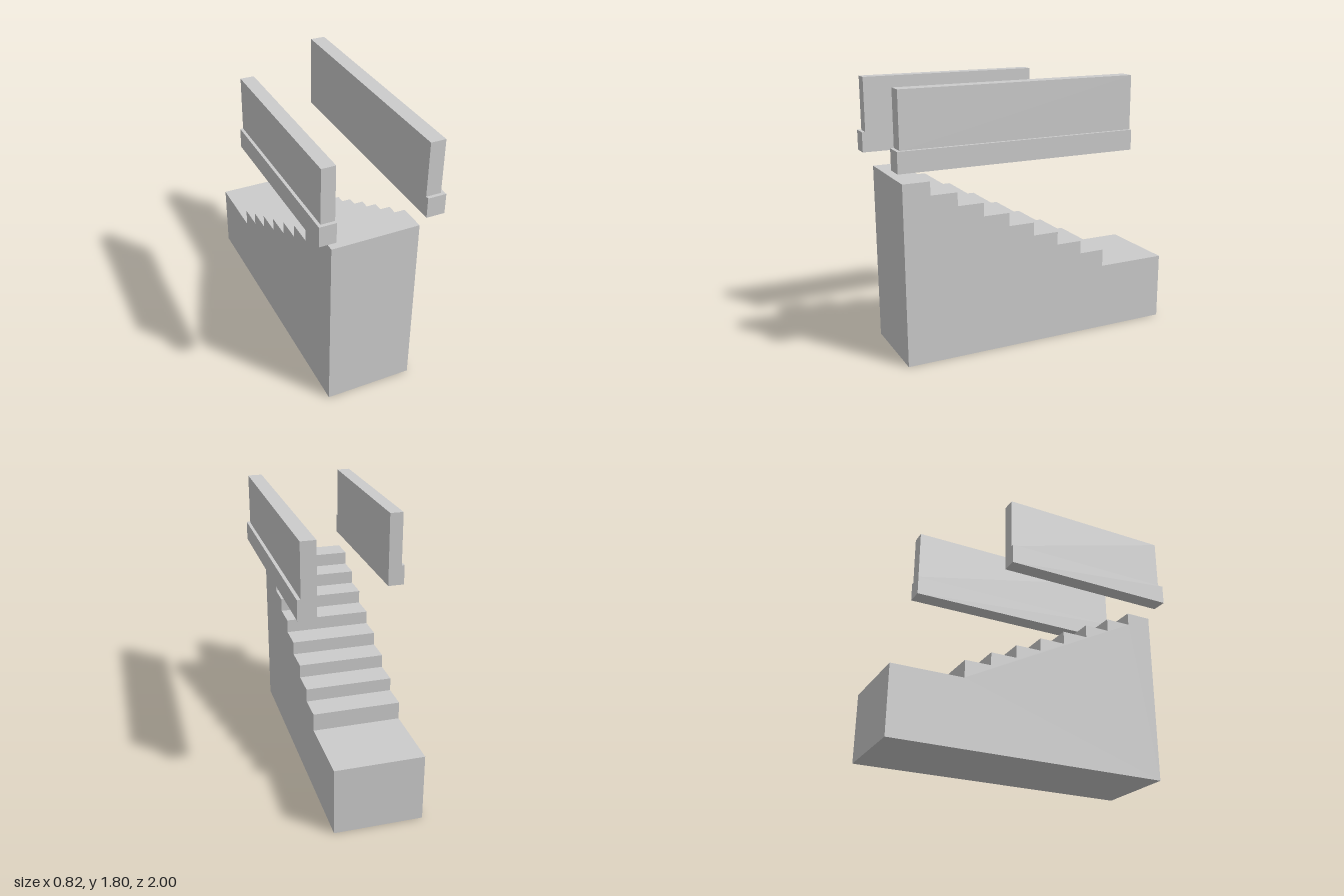
import * as THREE from 'three';

const material = new THREE.MeshStandardMaterial({ color: 0xcccccc, flatShading: true });

// Box given by its two extremes on each axis
function block(name, [x0, x1], [y0, y1], [z0, z1]) {
  const mesh = new THREE.Mesh(new THREE.BoxGeometry(x1 - x0, y1 - y0, z1 - z0), material);
  mesh.position.set((x0 + x1) / 2, (y0 + y1) / 2, (z0 + z1) / 2);
  mesh.name = name;
  return mesh;
}

// Solid staircase: stepped side profile, extruded across the width
function staircase(x0, x1) {
  const front = 0.935, top = 1.21, run = 0.181, rise = 0.09, steps = 8;
  const landing = 0.46, back = -1;
  const shape = new THREE.Shape();
  shape.moveTo(-front, 0);
  shape.lineTo(-back, 0);
  shape.lineTo(-back, landing);
  shape.lineTo(-front + steps * run, landing);
  for (let i = steps - 1; i >= 0; i--) {
    shape.lineTo(-front + (i + 1) * run, top - i * rise);
    shape.lineTo(-front + i * run, top - i * rise);
  }
  shape.closePath();
  const geometry = new THREE.ExtrudeGeometry(shape, { depth: x1 - x0, bevelEnabled: false });
  geometry.rotateY(Math.PI / 2); // profile x becomes -z, depth becomes x
  geometry.translate(x0, 0, 0);
  const mesh = new THREE.Mesh(geometry, material);
  mesh.name = 'staircase';
  return mesh;
}

// Parapet: upright wall on a wider base ledge
function parapet(name, wallX, ledgeX, back) {
  const group = new THREE.Group();
  group.name = name;
  group.add(block('ledge', ledgeX, [1.305, 1.44], [back, 1]));
  group.add(block('wall', wallX, [1.44, 1.8], [back, 0.977]));
  return group;
}

export function createModel() {
  const model = new THREE.Group();
  model.name = 'stairsWithParapets';
  model.add(staircase(-0.3, 0.287));
  model.add(parapet('leftParapet', [0.287, 0.387], [0.287, 0.41], -0.633));
  model.add(parapet('rightParapet', [-0.39, -0.3], [-0.41, -0.3], -0.235));
  return model;
}
